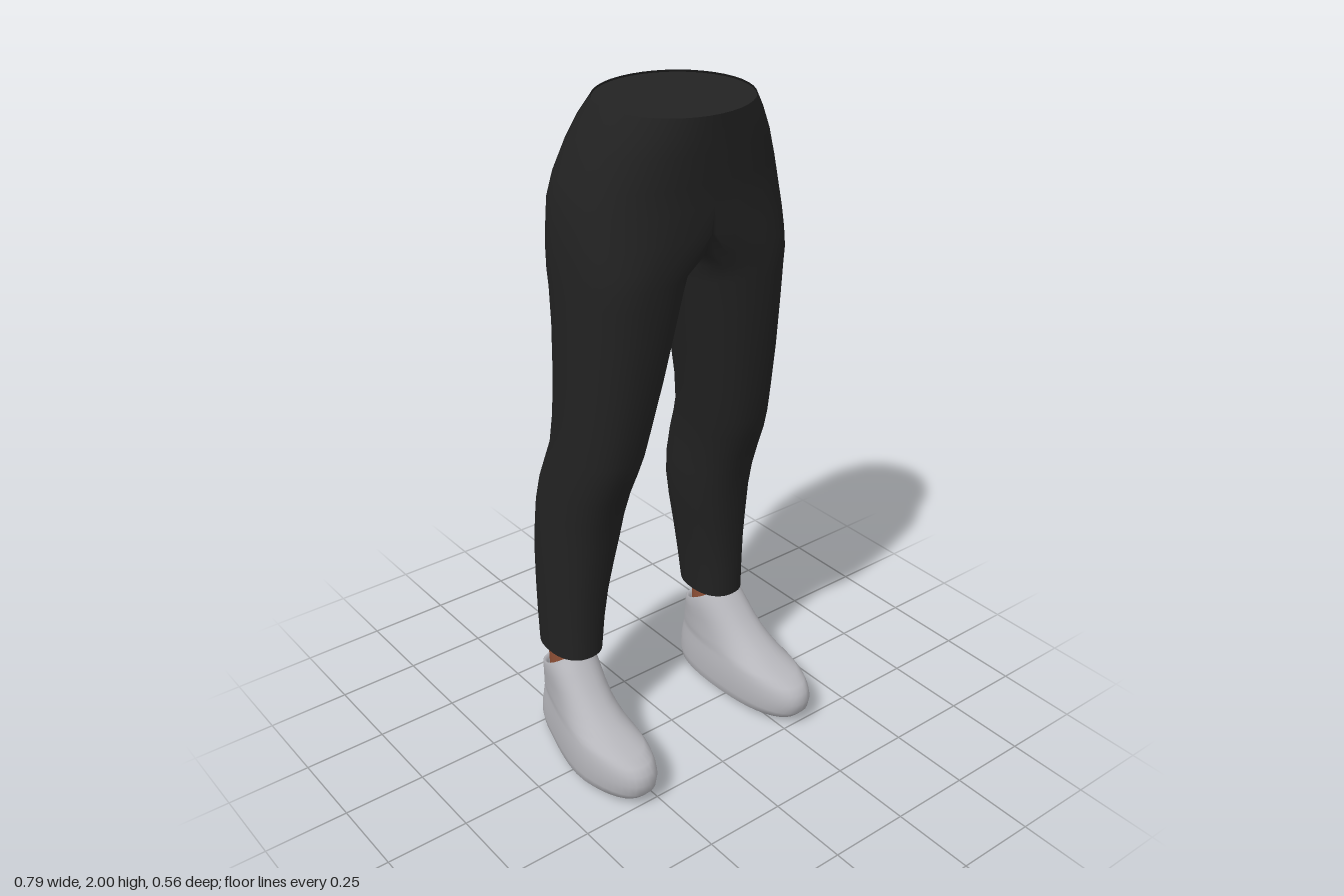
import * as THREE from 'three';

const SEG = 40;
const fabric = new THREE.MeshStandardMaterial({ color: 0x222222, side: THREE.DoubleSide });
fabric.name = 'black fabric';
const shoeGrey = new THREE.MeshStandardMaterial({ color: 0xb6b6bb, side: THREE.DoubleSide });
shoeGrey.name = 'shoe grey';
const skin = new THREE.MeshStandardMaterial({ color: 0x8f5036 });
skin.name = 'skin';

const lerp = THREE.MathUtils.lerp;
const smooth = THREE.MathUtils.smoothstep;
const pow = (v, n) => Math.sign(v) * Math.pow(Math.abs(v), 2 / n);

// Skin closed rings, listed bottom to top; side = -1 mirrors to the right.
// Points with x below 0 are clamped to the centre seam, so two halves meet there.
function loft(rings, point, side) {
  const pos = [], index = [];
  rings.forEach((ring) => {
    for (let i = 0; i < SEG; i++) {
      const a = (i / SEG) * Math.PI * 2;
      const [x, y, z] = point(ring, Math.cos(a), Math.sin(a));
      pos.push(Math.max(x, 0) * side, y, z);
    }
  });
  const tri = (a, b, c) => {
    if ([a, b, c].every((k) => Math.abs(pos[k * 3]) < 1e-4)) return;
    if (side > 0) index.push(a, b, c);
    else index.push(a, c, b);
  };
  for (let r = 0; r < rings.length - 1; r++) {
    for (let i = 0; i < SEG; i++) {
      const j = (i + 1) % SEG, lo = r * SEG, hi = lo + SEG;
      tri(lo + i, hi + i, lo + j);
      tri(lo + j, hi + i, hi + j);
    }
  }
  const geo = new THREE.BufferGeometry();
  geo.setAttribute('position', new THREE.Float32BufferAttribute(pos, 3));
  geo.setIndex(index);
  geo.computeVertexNormals();
  // Keep shading continuous across the centre seam
  const n = geo.attributes.normal;
  for (let k = 0; k < n.count; k++) if (Math.abs(pos[k * 3]) < 1e-4) n.setX(k, 0);
  geo.normalizeNormals();
  return geo;
}

// Trouser half: y, inner x, outer x, back z, front z, squareness, slope
const trouserRings = [
  [0.345, 0.192, 0.350, -0.250, -0.037, 2.3, 0],
  [0.45, 0.182, 0.350, -0.260, -0.032, 2.3, 0],
  [0.55, 0.168, 0.350, -0.267, -0.024, 2.3, 0],
  [0.65, 0.150, 0.350, -0.272, -0.010, 2.3, 0],
  [0.74, 0.135, 0.348, -0.271, 0.005, 2.3, 0],
  [0.82, 0.130, 0.346, -0.264, 0.024, 2.3, 0],
  [0.90, 0.127, 0.343, -0.246, 0.052, 2.3, 0],
  [0.97, 0.120, 0.339, -0.220, 0.080, 2.3, 0],
  [1.03, 0.110, 0.335, -0.198, 0.098, 2.3, 0],
  [1.12, 0.094, 0.333, -0.186, 0.115, 2.3, 0],
  [1.25, 0.068, 0.332, -0.183, 0.137, 2.3, 0],
  [1.40, 0.036, 0.332, -0.188, 0.156, 2.3, 0],
  [1.50, 0.014, 0.332, -0.195, 0.164, 2.4, 0],
  [1.55, 0.002, 0.332, -0.202, 0.168, 2.5, 0],
  [1.60, -0.070, 0.331, -0.212, 0.171, 2.6, 0],
  [1.66, -0.190, 0.329, -0.226, 0.174, 2.6, 0],
  [1.74, -0.320, 0.320, -0.240, 0.176, 2.6, 0],
  [1.80, -0.305, 0.305, -0.236, 0.180, 2.5, 0],
  [1.88, -0.275, 0.275, -0.217, 0.188, 2.4, 0],
  [1.94, -0.250, 0.250, -0.197, 0.193, 2.2, 0.03],
  [1.989, -0.223, 0.223, -0.175, 0.198, 2, 0.06],
];
function trouserPoint([y, xi, xo, zb, zf, n, slope], c, s) {
  const z = (zb + zf) / 2 + ((zf - zb) / 2) * pow(s, n);
  return [(xi + xo) / 2 + ((xo - xi) / 2) * pow(c, n), y - slope * z, z];
}

// Shoe: back y, front y, back z, front z, width factor
const shoeRings = [
  [0.000, 0.005, -0.02, 0.02, 0.01],
  [0.000, 0.012, -0.245, 0.19, 0.82],
  [0.012, 0.030, -0.268, 0.248, 0.96],
  [0.040, 0.055, -0.278, 0.270, 1.0],
  [0.085, 0.090, -0.274, 0.278, 1.0],
  [0.115, 0.118, -0.268, 0.270, 0.98],
  [0.138, 0.140, -0.263, 0.252, 0.95],
  [0.150, 0.154, -0.260, 0.215, 0.93],
  [0.160, 0.165, -0.257, 0.155, 0.93],
  [0.175, 0.190, -0.254, 0.095, 0.92],
  [0.195, 0.222, -0.250, 0.045, 0.91],
  [0.220, 0.260, -0.243, 0.002, 0.92],
  [0.245, 0.300, -0.235, -0.036, 0.95],
  [0.268, 0.335, -0.228, -0.068, 0.95],
  [0.275, 0.345, -0.222, -0.080, 0.90],
  [0.265, 0.335, -0.214, -0.092, 0.78],
  [0.235, 0.260, -0.205, -0.100, 0.65],
];
function shoePoint([yb, yf, zb, zf, w], c, s) {
  const t = pow(s, 2.3);
  const z = (zb + zf) / 2 + ((zf - zb) / 2) * t;
  const k = smooth(z, -0.22, 0.09);
  const x = lerp(0.276, 0.3, k) + lerp(0.078, 0.1, k) * w * pow(c, 2.3);
  return [x, lerp(yb, yf, Math.pow((t + 1) / 2, 1.7)), z];
}

export function createModel() {
  const model = new THREE.Group();
  model.name = 'trousersAndShoes';
  const add = (name, geo, mat) => {
    const mesh = new THREE.Mesh(geo, mat);
    mesh.name = name;
    model.add(mesh);
    return mesh;
  };

  for (const [label, side] of [['left', 1], ['right', -1]]) {
    add(label + 'TrouserHalf', loft(trouserRings, trouserPoint, side), fabric);
    add(label + 'Shoe', loft(shoeRings, shoePoint, side), shoeGrey);
    const ankle = add(label + 'Ankle', new THREE.CylinderGeometry(0.056, 0.05, 0.26, 20), skin);
    ankle.scale.z = 1.15;
    ankle.position.set(0.277 * side, 0.34, -0.158);
  }

  // Closed waist, set just below the rim
  const cap = new THREE.CircleGeometry(1, SEG);
  cap.rotateX(-Math.PI / 2);
  cap.scale(0.222, 1, 0.186);
  cap.rotateX(0.06);
  add('waistCap', cap, fabric).position.set(0, 1.983, 0.0115);

  return model;
}
